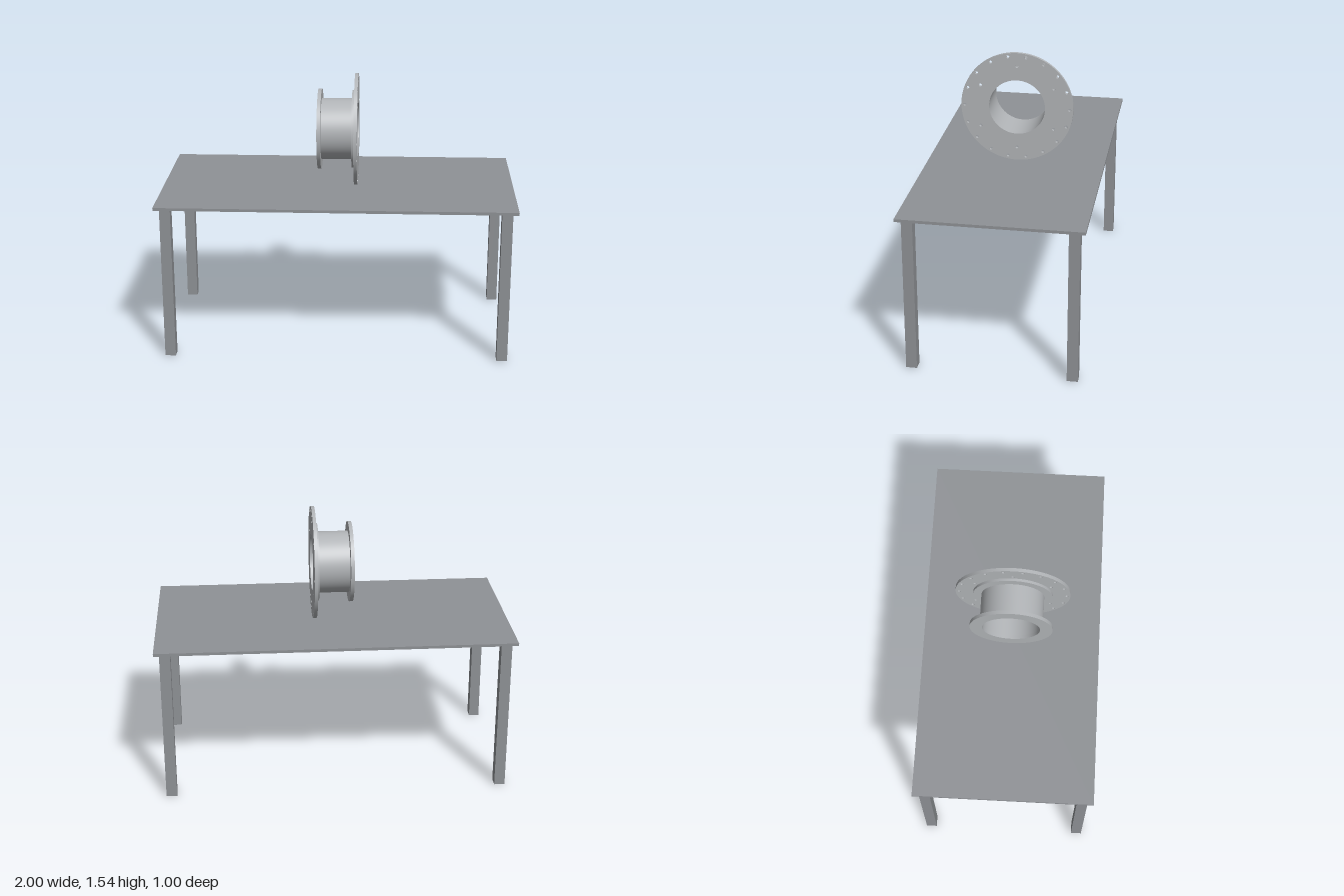
import * as THREE from 'three';
import { toCreasedNormals } from 'three/addons/utils/BufferGeometryUtils.js';

const AXIS_Y = 1.219; // height of the spool axis
const BORE = 0.159;

const tableGrey = new THREE.MeshStandardMaterial({ color: 0x8f9296 });
tableGrey.name = 'tableGrey';
const spoolGrey = new THREE.MeshStandardMaterial({ color: 0xb2b5b8 });
spoolGrey.name = 'spoolGrey';

function box(name, size, position) {
  const mesh = new THREE.Mesh(new THREE.BoxGeometry(...size), tableGrey);
  mesh.name = name;
  mesh.position.set(...position);
  return mesh;
}

// Closed circle as a path of straight steps
function circle(PathType, cx, cy, radius, sides) {
  const points = [];
  for (let i = 0; i < sides; i++) {
    const a = (i / sides) * Math.PI * 2;
    points.push(new THREE.Vector2(cx + radius * Math.cos(a), cy + radius * Math.sin(a)));
  }
  return new PathType().setFromPoints(points);
}

// Bored disc along x from x0 to x1; boltRings is a list of [count, radius, startAngle]
function boredDisc(name, radius, x0, x1, boltRings = []) {
  const shape = circle(THREE.Shape, 0, 0, radius, 96);
  shape.holes.push(circle(THREE.Path, 0, 0, BORE, 96));
  for (const [count, ringRadius, start] of boltRings) {
    for (let i = 0; i < count; i++) {
      const a = start + (i / count) * Math.PI * 2;
      shape.holes.push(circle(THREE.Path, ringRadius * Math.cos(a), ringRadius * Math.sin(a), 0.009, 16));
    }
  }
  const geometry = new THREE.ExtrudeGeometry(shape, { depth: x1 - x0, bevelEnabled: false });
  geometry.rotateY(Math.PI / 2);
  const mesh = new THREE.Mesh(toCreasedNormals(geometry, 0.6), spoolGrey);
  mesh.name = name;
  mesh.position.x = x0;
  return mesh;
}

export function createModel() {
  const model = new THREE.Group();
  model.name = 'tableWithFlangedSpool';

  // Table
  const table = new THREE.Group();
  table.name = 'table';
  table.add(box('tableTop', [2, 0.016, 1], [0, 0.892, 0]));
  for (const sx of [-1, 1]) {
    for (const sz of [-1, 1]) {
      const name = (sz > 0 ? 'front' : 'back') + (sx > 0 ? 'Left' : 'Right') + 'Leg';
      table.add(box(name, [0.06, 0.884, 0.06], [sx * 0.94, 0.442, sz * 0.44]));
    }
  }
  model.add(table);

  // Flanged pipe spool standing on its large flange
  const spool = new THREE.Group();
  spool.name = 'spool';
  spool.position.y = AXIS_Y;
  spool.add(boredDisc('smallFlange', 0.228, -0.116, -0.096));
  spool.add(boredDisc('pipe', 0.174, -0.096, 0.077));
  spool.add(boredDisc('raisedRing', 0.22, 0.077, 0.092));
  spool.add(boredDisc('largeFlange', 0.318, 0.092, 0.111, [[18, 0.298, 0], [6, 0.24, Math.PI / 6]]));
  model.add(spool);

  return model;
}
